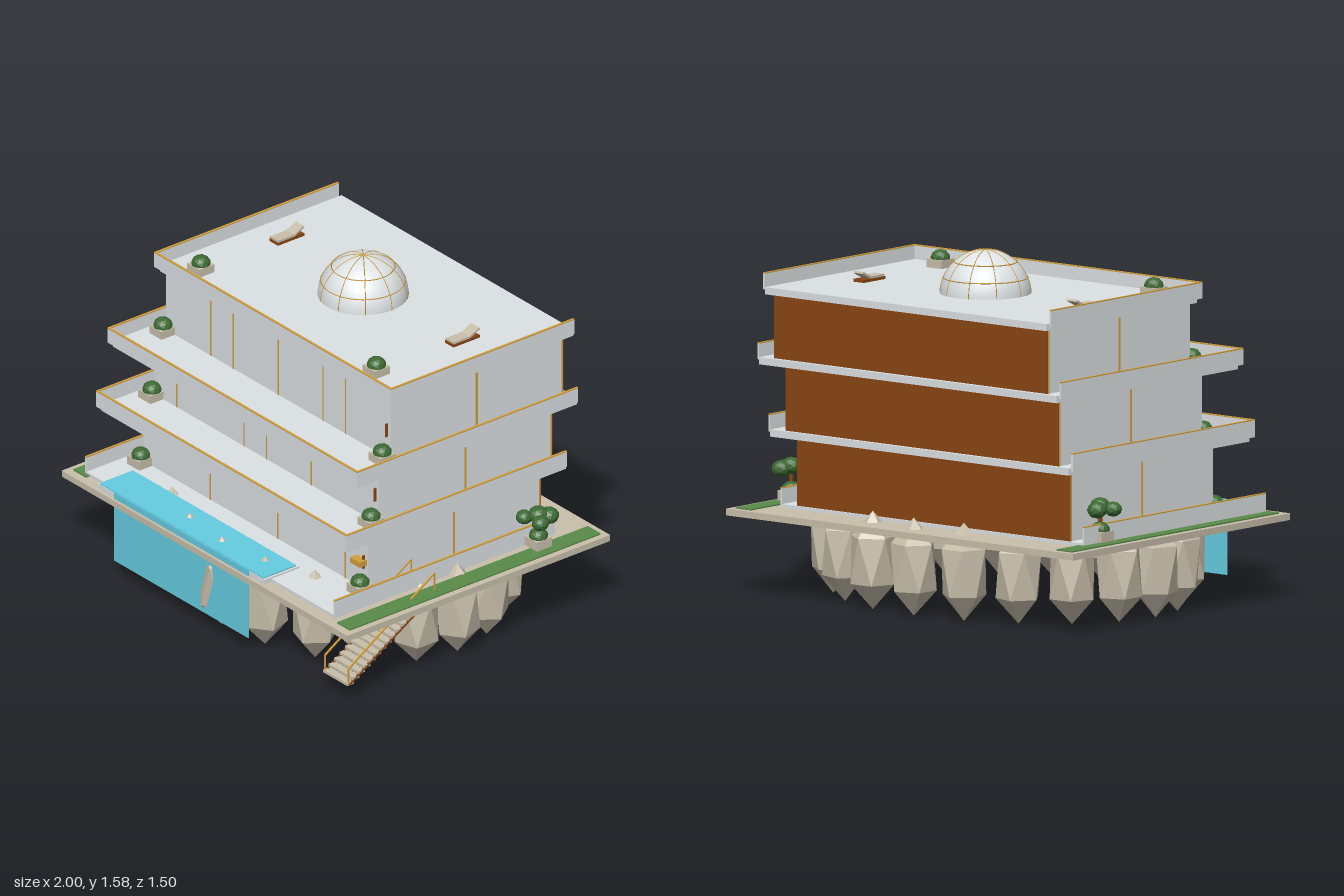
import * as THREE from 'three';
import { ConvexGeometry } from 'three/addons/geometries/ConvexGeometry.js';

const mat = (name, color, side = THREE.FrontSide) => {
  const m = new THREE.MeshStandardMaterial({ color, side });
  m.name = name;
  return m;
};

export function createModel() {
  const model = new THREE.Group();
  model.name = 'terracedVilla';
  const white = mat('white', 0xdde2e4);
  const stone = mat('stone', 0xc9c0ac);
  const gold = mat('gold', 0xd4a03c);
  const wood = mat('wood', 0x8b4513);
  const water = mat('water', 0x66cde2, THREE.DoubleSide);
  const grass = mat('grass', 0x5a8a48);
  const leaf = mat('leaf', 0x3d6b33);

  const add = (name, geo, material, parent = model) => {
    const m = new THREE.Mesh(geo, material);
    m.name = name;
    parent.add(m);
    return m;
  };
  // Box given by its lower and upper limits on each axis
  const box = (name, x0, x1, y0, y1, z0, z1, material, parent) => {
    const m = add(name, new THREE.BoxGeometry(x1 - x0, y1 - y0, z1 - z0), material, parent);
    m.position.set((x0 + x1) / 2, (y0 + y1) / 2, (z0 + z1) / 2);
    return m;
  };
  // Thin square bar between two points
  const bar = (name, a, b, r, material) => {
    const p = new THREE.Vector3(...a), q = new THREE.Vector3(...b);
    const m = add(name, new THREE.BoxGeometry(r, r, p.distanceTo(q)), material);
    m.position.copy(p).add(q).multiplyScalar(0.5);
    m.lookAt(q);
    return m;
  };

  // Platform and lawns
  box('platform', -1, 1, 0.37, 0.4, -0.75, 0.75, stone);
  for (const s of [-1, 1])
    box('lawn', s * 0.925 - 0.045, s * 0.925 + 0.045, 0.398, 0.406, -0.72, 0.71, grass);

  // Ring of faceted rocks whose tips pierce the platform
  const rockPoints = [new THREE.Vector3(0, 0.01, 0), new THREE.Vector3(0, 0.45, 0)];
  for (let i = 0; i < 5; i++)
    for (const [y, turn] of [[0.125, -0.31], [0.335, 0.31]]) {
      const a = (i / 5) * Math.PI * 2 + turn;
      rockPoints.push(new THREE.Vector3(Math.sin(a) * 0.102, y, Math.cos(a) * 0.102));
    }
  const rockGeo = new ConvexGeometry(rockPoints);
  for (let i = 0; i < 20; i++) {
    const a = (i / 20) * Math.PI * 2;
    const rock = add('rock', rockGeo, stone);
    rock.position.set(Math.sin(a) * 0.85, 0, Math.cos(a) * 0.65);
    rock.rotation.y = a;
  }

  // Terrace slab with parapets on the sides and, above ground, the front
  const terrace = (cx, hw, z0, z1, y0, yTop, front) => {
    const g = new THREE.Group();
    g.name = 'terrace';
    model.add(g);
    const inset = front ? 0.018 : 0;
    box('terraceSlab', cx - hw + inset, cx + hw - inset, front ? y0 - 0.02 : 0.4, y0 + 0.012,
      z0 - inset / 2, z1 - inset, white, g);
    const wall = (xa, xb, za, zb) => {
      box('parapet', xa, xb, y0, yTop - 0.005, za, zb, white, g);
      box('parapetCap', xa, xb, yTop - 0.005, yTop, za, zb, gold, g);
    };
    wall(cx - hw, cx - hw + 0.01, z0, z1);
    wall(cx + hw - 0.01, cx + hw, z0, z1);
    if (front) wall(cx - hw + 0.01, cx + hw - 0.01, z1 - 0.01, z1);
  };
  terrace(-0.035, 0.875, -0.565, 0.69, 0.403, 0.49, false);
  terrace(0, 0.877, -0.603, 0.655, 0.74, 0.82, true);
  terrace(0.035, 0.875, -0.64, 0.62, 1.065, 1.14, true);
  terrace(0.035, 0.83, -0.655, 0.39, 1.385, 1.46, true);

  // Storeys: walls, gold mullions, door handle and wooden back
  const storeys = [
    { cx: -0.035, z0: -0.55, z1: 0.43, y0: 0.41, y1: 0.722, lines: [3, 6, 9] },
    { cx: 0, z0: -0.587, z1: 0.395, y0: 0.75, y1: 1.047, lines: [1, 4, 5, 7] },
    { cx: 0.035, z0: -0.622, z1: 0.357, y0: 1.075, y1: 1.367, lines: [2, 3, 5, 7, 8] },
  ];
  for (const { cx, z0, z1, y0, y1, lines } of storeys) {
    const hw = 0.787, zc = (z0 + z1) / 2;
    box('storeyWalls', cx - hw, cx + hw, y0, y1, z0, z1, white);
    box('backPanel', cx - hw, cx + hw, y0, y1, z0 - 0.007, z0, wood);
    for (const i of lines) {
      const x = cx - hw + i * hw * 0.2;
      box('frontMullion', x - 0.003, x + 0.003, y0, y1, z1 - 0.002, z1 + 0.003, gold);
    }
    for (const s of [-1, 1]) {
      const x = cx + s * hw;
      box('sideMullion', x - 0.003, x + 0.003, y0, y1, zc - 0.005, zc + 0.005, gold);
      box('cornerTrim', x - 0.003, x + 0.003, y0, y1, z0 - 0.002, z0 + 0.004, gold);
    }
    const hy = y0 + 0.11;
    box('doorHandle', cx + 0.762, cx + 0.768, hy, hy + 0.065, z1, z1 + 0.012, wood);
  }
  box('wallShelf', 0.675, 0.745, 0.54, 0.566, 0.43, 0.47, gold);

  // Glazed dome with ribs
  const dome = new THREE.Group();
  dome.name = 'dome';
  dome.position.set(0, 1.388, -0.155);
  model.add(dome);
  add('domeGlass', new THREE.SphereGeometry(0.203, 36, 14, 0, Math.PI * 2, 0, Math.PI / 2), white, dome);
  for (let i = 0; i < 5; i++)
    add('domeRib', new THREE.TorusGeometry(0.203, 0.002, 4, 32, Math.PI), gold, dome).rotation.y = (i * Math.PI) / 5;
  for (const t of [0, 0.38, 0.8]) {
    const ring = add('domeRing', new THREE.TorusGeometry(0.203 * Math.cos(t), 0.0025, 4, 36), gold, dome);
    ring.rotation.x = Math.PI / 2;
    ring.position.y = 0.203 * Math.sin(t) + 0.003;
  }

  // Potted shrubs
  const leafGeo = new THREE.IcosahedronGeometry(1, 1);
  leafGeo.computeVertexNormals();
  const foliage = (x, y, z, r) => {
    const f = add('foliage', leafGeo, leaf);
    f.position.set(x, y, z);
    f.scale.set(r, r * 0.85, r);
  };
  const pot = (x, y, z) => {
    box('planter', x - 0.043, x + 0.043, y, y + 0.045, z - 0.043, z + 0.043, stone);
    foliage(x, y + 0.05, z, 0.044);
  };
  for (const [cx, dx, y, z] of [[0, 0.615, 1.39, 0.27], [0.035, 0.768, 1.07, 0.39],
    [0, 0.768, 0.745, 0.425], [-0.035, 0.768, 0.412, 0.46]])
    for (const s of [-1, 1]) pot(cx + s * dx, y, z);

  // Trees on the lawns
  for (const s of [-1, 1]) {
    const x = s * 0.89, z = -0.43;
    pot(x, 0.41, z);
    add('trunk', new THREE.CylinderGeometry(0.009, 0.012, 0.1, 6), wood).position.set(x, 0.5, z);
    for (const [dx, y, dz, r] of [[0, 0.565, 0, 0.047], [0.05, 0.553, 0.03, 0.04],
      [-0.045, 0.55, 0.045, 0.038], [0.02, 0.555, -0.045, 0.045]])
      foliage(x + s * dx, y, z + dz, r);
  }

  // Sun loungers on the roof
  for (const s of [-1, 1]) {
    const x = s * 0.615;
    box('loungerFrame', x - 0.03, x + 0.03, 1.397, 1.41, -0.295, -0.145, wood);
    box('loungerSeat', x - 0.028, x + 0.028, 1.41, 1.42, -0.24, -0.148, stone);
    const back = box('loungerBack', x - 0.028, x + 0.028, 1.423, 1.433, -0.3, -0.235, stone);
    back.rotation.x = 0.45;
  }

  // Pool and waterfall
  box('poolRim', -0.77, 0.395, 0.4, 0.424, 0.53, 0.731, white);
  box('poolWater', -0.76, 0.385, 0.41, 0.43, 0.54, 0.728, water);
  box('waterfall', -0.65, 0.29, 0.09, 0.43, 0.732, 0.737, water);

  // Stairs down from the platform, with handrails
  const steps = 16;
  for (let i = 0; i < steps; i++) {
    const t = i / (steps - 1), y = 0.395 - t * 0.29, z = 0.2 + t * 0.465;
    box('step', 0.75, 0.92, y - 0.013, y, z - 0.019, z + 0.019, stone);
  }
  for (const x of [0.752, 0.917]) {
    bar('handrail', [x, 0.49, 0.185], [x, 0.175, 0.675], 0.007, gold);
    bar('stringer', [x, 0.39, 0.185], [x, 0.092, 0.675], 0.009, wood);
    box('railPost', x - 0.003, x + 0.003, 0.39, 0.49, 0.182, 0.188, gold);
    box('railPost', x - 0.003, x + 0.003, 0.092, 0.175, 0.672, 0.678, gold);
  }
  return model;
}
